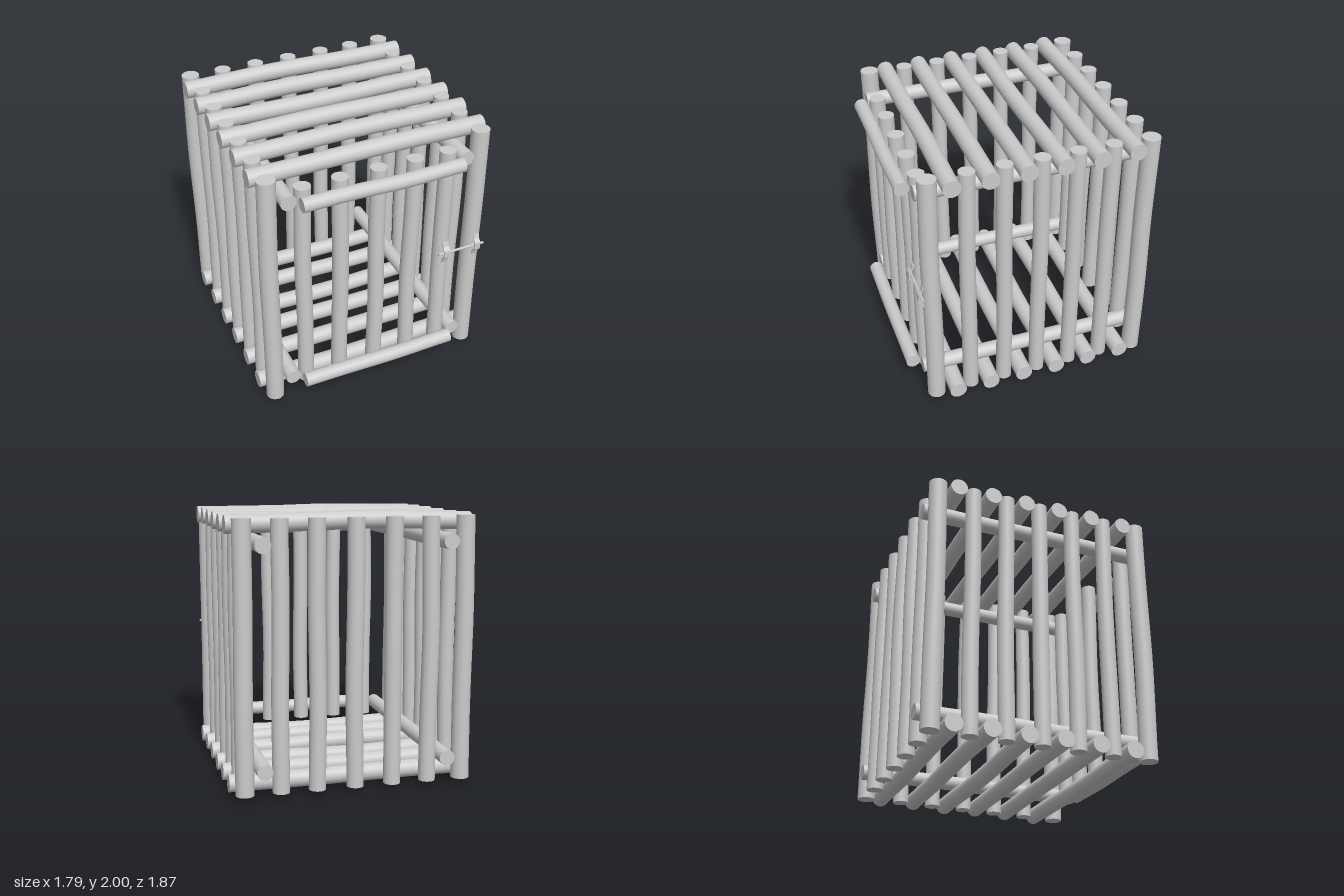
import * as THREE from 'three';

const material = new THREE.MeshStandardMaterial({ color: 0xcccccc });

// A slightly crooked log between two ends on one axis; 'bend' is the sideways bow
function makeLog(name, axis, center, length, radius, bend, phase = 0) {
  const g = new THREE.CylinderGeometry(radius, radius, length, 24, 12);
  if (axis === 'x') g.rotateZ(-Math.PI / 2);
  if (axis === 'z') g.rotateX(Math.PI / 2);
  const p = g.attributes.position;
  const v = new THREE.Vector3();
  for (let i = 0; i < p.count; i++) {
    v.fromBufferAttribute(p, i);
    const t = v[axis] / length + 0.5;
    const bow = Math.sin(Math.PI * t) ** 2;
    const wave = Math.sin(2 * Math.PI * t) * Math.sin(Math.PI * t) * 0.006;
    v.addScaledVector(bend, bow);
    for (const k of ['x', 'y', 'z']) {
      if (k !== axis) v[k] += wave * Math.cos(phase + (k === 'z' ? 1.5 : 0));
    }
    p.setXYZ(i, v.x, v.y, v.z);
  }
  const mesh = new THREE.Mesh(g, material);
  mesh.name = name;
  mesh.position.set(...center);
  return mesh;
}

// Bent metal strap that holds the sliding bolt against a log
function makeStrap(x) {
  const s = new THREE.Shape();
  const outer = [[0.8, 0.09], [0.824, 0.09], [0.834, 0.055], [0.858, 0.03], [0.858, -0.03], [0.834, -0.055], [0.824, -0.09], [0.8, -0.09]];
  const inner = [[0.8, -0.08], [0.816, -0.08], [0.826, -0.05], [0.848, -0.025], [0.848, 0.025], [0.826, 0.05], [0.816, 0.08], [0.8, 0.08]];
  [...outer, ...inner].forEach(([z, y], i) => (i ? s.lineTo(-z, y) : s.moveTo(-z, y)));
  const g = new THREE.ExtrudeGeometry(s, { depth: 0.046, bevelEnabled: false });
  g.translate(0, 0, -0.023);
  g.rotateY(Math.PI / 2); // shape x -> -z, depth -> x
  const mesh = new THREE.Mesh(g, material);
  mesh.name = 'boltStrap';
  mesh.position.set(x, 1.01, 0);
  return mesh;
}

export function createModel() {
  const model = new THREE.Group();
  model.name = 'logCage';
  let seed = 7;
  const rand = () => ((seed = (seed * 16807) % 2147483647) / 2147483647) * 2 - 1;
  const vec = (x, y, z) => new THREE.Vector3(x, y, z);
  const add = (parent, ...args) => parent.add(makeLog(...args, rand() * 3));
  const group = (name) => {
    const g = new THREE.Group();
    g.name = name;
    model.add(g);
    return g;
  };

  // Corner posts
  const posts = group('cornerPosts');
  for (const x of [-0.81, 0.8]) {
    for (const z of [0.752, -0.862]) {
      add(posts, 'cornerPost', 'y', [x, 1.005, z], 1.93, 0.067, vec(rand() * 0.008, 0, rand() * 0.006));
    }
  }

  // Upright bars of both sides
  const sides = group('sideBars');
  for (const x of [-0.803, 0.79]) {
    for (const z of [0.477, 0.21, -0.058, -0.322, -0.585]) {
      add(sides, 'sideBar', 'y', [x, 1.003, z], 1.926, 0.059, vec(rand() * 0.01, 0, rand() * 0.008));
    }
  }

  // Back bars
  const back = group('backBars');
  for (const x of [-0.55, -0.28, -0.003, 0.277, 0.54]) {
    add(back, 'backBar', 'y', [x, 1.003, -0.862], 1.926, 0.062, vec(rand() * 0.012, 0, rand() * 0.008));
  }

  // Roof and floor beams: z, height, vertical bow, sideways bow
  const roof = group('roofBeams');
  for (const [z, y, dy, dz] of [
    [0.608, 1.916, 0.004, -0.004], [0.34, 1.921, 0.016, 0.004], [0.07, 1.92, 0.012, 0.004],
    [-0.194, 1.918, -0.005, 0.006], [-0.458, 1.916, 0.008, -0.006], [-0.725, 1.921, 0.015, 0.006],
  ]) add(roof, 'roofBeam', 'x', [0, y, z], 1.79, 0.064, vec(0, dy, dz));
  const floor = group('floorBeams');
  for (const [z, y, dy, dz] of [
    [0.605, 0.086, -0.018, -0.004], [0.342, 0.091, 0.004, 0.005], [0.078, 0.093, 0.003, 0.005],
    [-0.19, 0.085, -0.017, 0.006], [-0.455, 0.091, -0.004, -0.006], [-0.725, 0.09, -0.003, 0.004],
  ]) add(floor, 'floorBeam', 'x', [0, y, z], 1.79, 0.064, vec(0, dy, dz));

  // Rails running front to back inside the side bars
  const rails = group('sideRails');
  for (const x of [-0.68, 0.668]) {
    for (const y of [0.213, 1.79]) {
      add(rails, 'sideRail', 'z', [x, y, -0.06], 1.755, 0.057, vec(0, rand() * 0.008, 0));
    }
  }

  // Door: shorter uprights with a cross rail above and below
  const door = group('door');
  for (const x of [-0.558, -0.284, 0.006, 0.287, 0.545]) {
    add(door, 'doorBar', 'y', [x, 0.995, 0.757], 1.73, 0.06, vec(rand() * 0.01, 0, rand() * 0.008));
  }
  for (const y of [0.208, 1.79]) {
    add(door, 'doorRail', 'x', [-0.003, y, 0.874], 1.215, 0.053, vec(0, -0.004, 0.003));
  }

  // Sliding bolt across door and post
  const bolt = group('doorBolt');
  const rod = new THREE.Mesh(new THREE.CylinderGeometry(0.01, 0.01, 0.38, 12).rotateZ(Math.PI / 2), material);
  rod.name = 'boltRod';
  rod.position.set(0.677, 1.01, 0.834);
  bolt.add(rod, makeStrap(0.546), makeStrap(0.805));

  return model;
}
